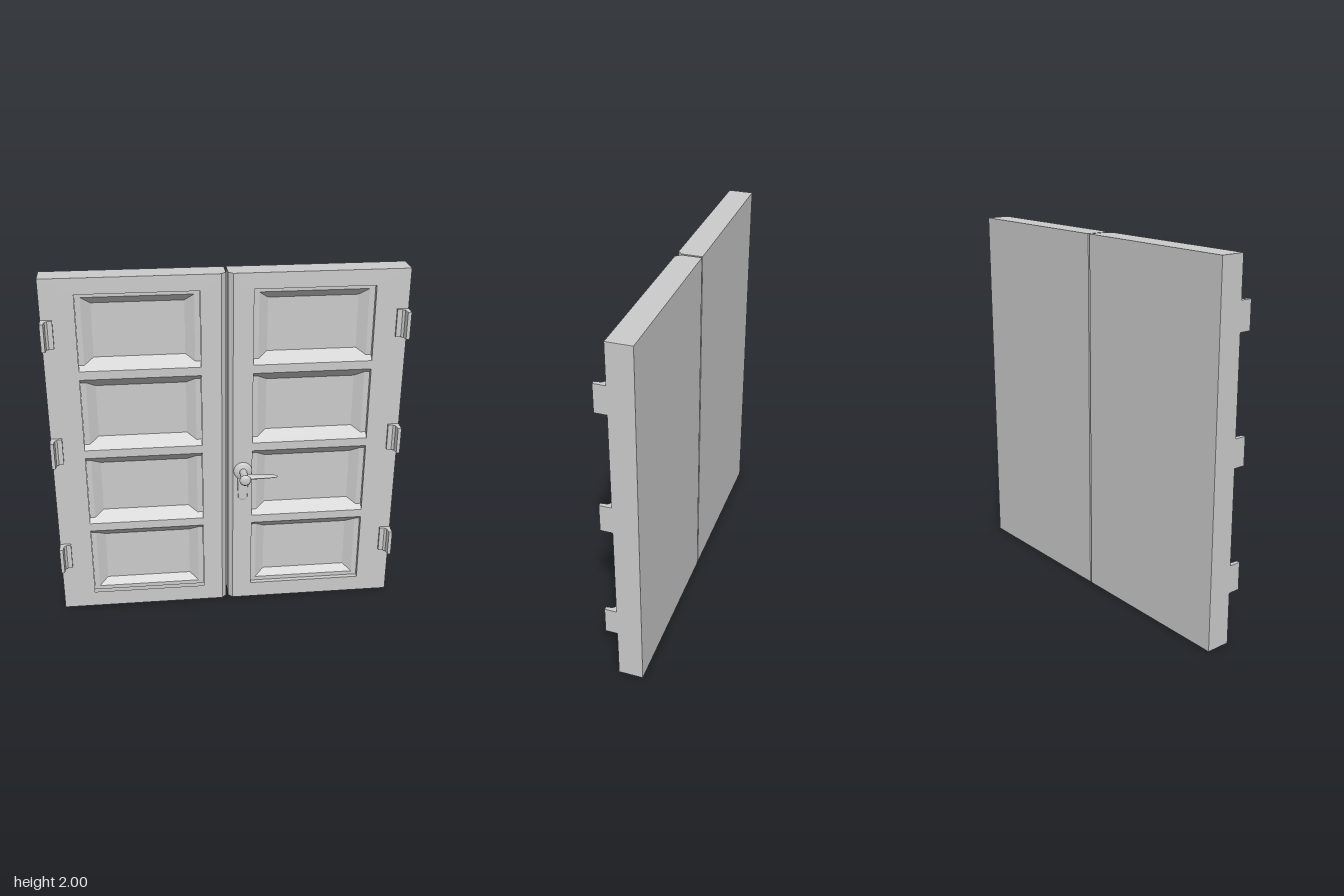
import * as THREE from 'three';

const material = new THREE.MeshStandardMaterial({ color: 0xcccccc });
const BACK = -0.134, FLOOR = -0.06, LEDGE = -0.027, HEIGHT = 2;
const INNER = 0.006, CHAMFER = 0.031, OUTER = 0.965;
const recess = { x0: 0.14, x1: 0.786, y0: 0.095, y1: 1.913 };

function add(parent, name, geometry, x = 0, y = 0, z = 0) {
  const mesh = new THREE.Mesh(geometry, material);
  mesh.name = name;
  mesh.position.set(x, y, z);
  parent.add(mesh);
  return mesh;
}

const polygon = (pts) => new THREE.Shape(pts.map(([x, y]) => new THREE.Vector2(x, y)));
const extrude = (shape, depth) => new THREE.ExtrudeGeometry(shape, { depth, bevelEnabled: false });

// Plan outline given as [x, z], raised along y
const extrudeUp = (pts, height) =>
  extrude(polygon(pts.map(([x, z]) => [x, -z])), height).rotateX(-Math.PI / 2);

// Side outline given as [z, y], run along x
const extrudeAcross = (pts, length) =>
  extrude(polygon(pts.map(([z, y]) => [-z, y])), length).rotateY(Math.PI / 2);

const rect = (x0, y0, x1, y1) => [[x0, y0], [x1, y0], [x1, y1], [x0, y1]];

// Ledge and slope running round the recess, as nested rectangles
function mouldingGeometry(w, h) {
  const loops = [[0, LEDGE], [0.03, LEDGE], [0.08, FLOOR]].map(([inset, z]) =>
    rect(-w / 2 + inset, -h / 2 + inset * 0.8, w / 2 - inset, h / 2 - inset * 0.8)
      .map(([x, y]) => [x, y, z]));
  const pos = [];
  for (let k = 0; k < 2; k++) {
    for (let i = 0; i < 4; i++) {
      const j = (i + 1) % 4;
      const a = loops[k][i], b = loops[k][j], c = loops[k + 1][j], d = loops[k + 1][i];
      pos.push(...a, ...b, ...c, ...a, ...c, ...d);
    }
  }
  const g = new THREE.BufferGeometry();
  g.setAttribute('position', new THREE.Float32BufferAttribute(pos, 3));
  g.computeVertexNormals();
  return g;
}

// One door leaf; s = 1 for the left leaf, -1 for the right
function doorLeaf(s) {
  const leaf = new THREE.Group();
  leaf.name = s > 0 ? 'leftDoor' : 'rightDoor';
  const { x0, x1, y0, y1 } = recess;
  const cx = s * (x0 + x1) / 2, cy = (y0 + y1) / 2;

  // Solid backing, whose front is the floor of the panels
  add(leaf, 'backPanel', new THREE.BoxGeometry(OUTER - INNER, HEIGHT, FLOOR - BACK),
    s * (INNER + OUTER) / 2, HEIGHT / 2, (FLOOR + BACK) / 2);

  // Front frame with the tall opening
  const frame = polygon(rect(s * CHAMFER, 0, s * OUTER, HEIGHT));
  frame.holes.push(polygon(rect(s * x0, y0, s * x1, y1)));
  add(leaf, 'frontFrame', extrude(frame, -FLOOR), 0, 0, FLOOR);

  // Chamfered edge where the leaves meet
  add(leaf, 'meetingEdge', extrudeUp([
    [s * INNER, FLOOR], [s * INNER, -0.025], [s * CHAMFER, 0], [s * CHAMFER, FLOOR]], HEIGHT));

  add(leaf, 'panelMoulding', mouldingGeometry(x1 - x0, y1 - y0), cx, cy, 0);

  // Bevelled bars dividing the opening into four panels
  for (const dy of [-0.465, 0, 0.465]) {
    add(leaf, 'crossBar', extrudeAcross(
      [[FLOOR, -0.082], [0, -0.024], [0, 0.024], [FLOOR, 0.082]], x1 - x0),
    cx - (x1 - x0) / 2, cy + dy, 0);
  }

  // Angled hinge leaves on the outer edge
  for (const y of [0.285, 0.957, 1.63]) {
    const profile = [[0, 0], [0.062, 0], [0.062, 0.014], [0.036, 0.018],
      [0.024, 0.03], [0.019, 0.065], [0, 0.065]];
    add(leaf, 'hinge', extrudeUp(profile.map(([x, z]) => [s * (OUTER - x), z]), 0.152), 0, y, 0);
  }
  return leaf;
}

// Turned part along z from [radius, distance] points
const turned = (pts) =>
  new THREE.LatheGeometry(pts.map(([r, d]) => new THREE.Vector2(r, d)), 32);

function doorHandle() {
  const handle = new THREE.Group();
  handle.name = 'doorHandle';
  handle.position.set(0.087, 0.858, 0);

  add(handle, 'rose', turned([[0.052, 0], [0.052, 0.007], [0.049, 0.012], [0.04, 0.016],
    [0.032, 0.017], [0.027, 0.021], [0, 0.021]]).rotateX(Math.PI / 2));
  add(handle, 'spindle', turned([[0.021, 0.015], [0.021, 0.108], [0.029, 0.111], [0.032, 0.116],
    [0.032, 0.121], [0.027, 0.125], [0.025, 0.131], [0.017, 0.134], [0, 0.135]]).rotateX(Math.PI / 2));

  // Drop-shaped lock plate below the rose
  const plate = new THREE.Shape();
  plate.moveTo(-0.02, 0);
  plate.lineTo(-0.015, -0.16);
  plate.absarc(0, -0.16, 0.015, Math.PI, Math.PI * 2, false);
  plate.lineTo(0.02, 0);
  add(handle, 'lockPlate', new THREE.ExtrudeGeometry(plate, {
    depth: 0.004, bevelThickness: 0.007, bevelSize: 0.012, bevelSegments: 3, curveSegments: 16 }));

  // Flattened lever, narrowing and dropping slightly to its tip
  const lever = turned([[0, 0], [0.025, 0.002], [0.025, 0.045], [0.023, 0.09], [0.018, 0.14],
    [0.015, 0.168], [0.011, 0.181], [0.005, 0.187], [0, 0.188]]).rotateZ(-Math.PI / 2);
  const p = lever.attributes.position;
  for (let i = 0; i < p.count; i++) {
    const x = p.getX(i);
    p.setY(i, p.getY(i) * 0.45 - x * 0.05);
    p.setZ(i, p.getZ(i) - x * 0.03);
  }
  lever.computeVertexNormals();
  add(handle, 'lever', lever, 0, 0, 0.075);
  return handle;
}

export function createModel() {
  const model = new THREE.Group();
  model.name = 'doubleDoor';
  model.add(doorLeaf(1), doorLeaf(-1), doorHandle());
  return model;
}
